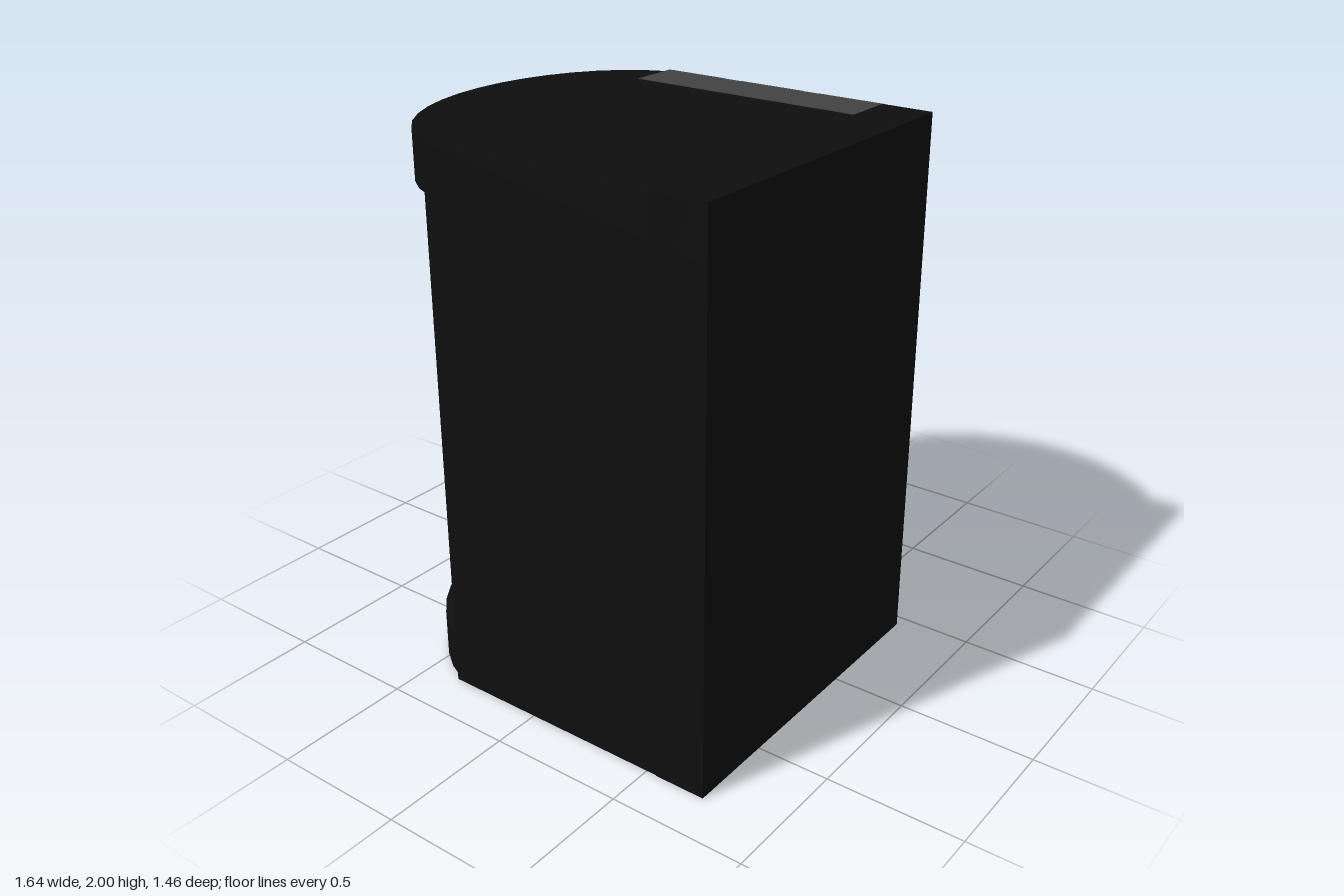
import * as THREE from 'three';
import { toCreasedNormals } from 'three/addons/utils/BufferGeometryUtils.js';

const black = new THREE.MeshStandardMaterial({ color: 0x0e0e0e, name: 'black' });
const grey = new THREE.MeshStandardMaterial({ color: 0x424242, name: 'dark grey' });
const blue = new THREE.MeshStandardMaterial({ color: 0x0f94b7, name: 'teal blue' });

export function createModel() {
  const model = new THREE.Group();
  model.name = 'openBackedCabinet';

  const add = (name, geometry, material) => {
    const mesh = new THREE.Mesh(geometry, material);
    mesh.name = name;
    model.add(mesh);
  };
  // box given by its extents on each axis
  const box = (name, material, [x0, x1], [y0, y1], [z0, z1]) => {
    const g = new THREE.BoxGeometry(x1 - x0, y1 - y0, z1 - z0);
    g.translate((x0 + x1) / 2, (y0 + y1) / 2, (z0 + z1) / 2);
    add(name, g, material);
  };
  // extrude a plan drawn in x, z between two heights
  const slab = (points, y0, y1) => {
    const g = new THREE.ExtrudeGeometry(new THREE.Shape(points), { depth: y1 - y0, bevelEnabled: false });
    g.rotateX(Math.PI / 2);
    g.translate(0, y1, 0);
    return toCreasedNormals(g, 0.5);
  };
  const v = (x, z) => new THREE.Vector2(x, z);

  // round-backed floor and roof
  const plan = [v(0.45, -0.365), v(0.45, 0.73), v(-0.825, 0.73), v(-0.825, -0.365)];
  const start = Math.asin(0.12 / 0.485);
  for (let i = 0; i <= 16; i++) {
    const a = start + (Math.PI - 2 * start) * i / 16;
    plan.push(v(-0.19 - 0.64 * Math.cos(a), -0.245 - 0.485 * Math.sin(a)));
  }
  add('floor', slab(plan, 0.002, 0.18), black);
  add('roof', slab(plan, 1.82, 1.998), black);

  // front and side walls
  box('frontWall', black, [-0.825, 0.45], [0, 2], [0.54, 0.73]);
  box('sideWall', black, [-0.825, -0.635], [0.18, 1.82], [-0.365, 0.54]);
  box('slattedWallCore', black, [0.275, 0.445], [0.18, 1.82], [-0.355, 0.54]);

  // grey ends of the slatted wall
  box('wallTop', grey, [0.265, 0.45], [1.996, 2], [-0.365, 0.54]);
  box('wallBottom', grey, [0.265, 0.45], [0, 0.004], [-0.365, 0.54]);

  // horizontal slats facing the hollow
  for (let i = 0; i < 9; i++) {
    const y = 0.205 + 0.182 * i;
    box('slat', grey, [0.265, 0.448], [y, y + 0.122], [-0.365, 0.54]);
  }
  // upright boards on the outside, with dark strips between
  for (const [z0, z1] of [[0.29, 0.55], [-0.045, 0.225], [-0.365, -0.11]]) {
    box('uprightBoard', grey, [0.44, 0.453], [0, 2], [z0, z1]);
  }
  for (const z of [0.225, -0.11]) box('boardGap', black, [0.44, 0.4505], [0, 1.999], [z, z + 0.065]);

  // curved shield beside the slatted wall
  const curve = (pts) => new THREE.SplineCurve(pts.map((p) => v(...p))).getPoints(26);
  const outer = curve([[0.39, -0.57], [0.47, -0.545], [0.555, -0.495], [0.638, -0.42], [0.704, -0.325],
    [0.757, -0.21], [0.793, -0.09], [0.817, 0.04], [0.818, 0.136], [0.802, 0.26], [0.766, 0.373],
    [0.72, 0.47], [0.66, 0.557], [0.594, 0.623], [0.515, 0.667]]);
  const inner = curve([[0.39, -0.51], [0.46, -0.488], [0.535, -0.44], [0.61, -0.37], [0.67, -0.285],
    [0.72, -0.18], [0.753, -0.065], [0.774, 0.055], [0.774, 0.15], [0.757, 0.265], [0.725, 0.365],
    [0.675, 0.46], [0.615, 0.535], [0.56, 0.58], [0.503, 0.61]]);
  add('curvedShield', slab([...outer, ...inner.reverse()], 0.18, 1.82), blue);

  return model;
}
